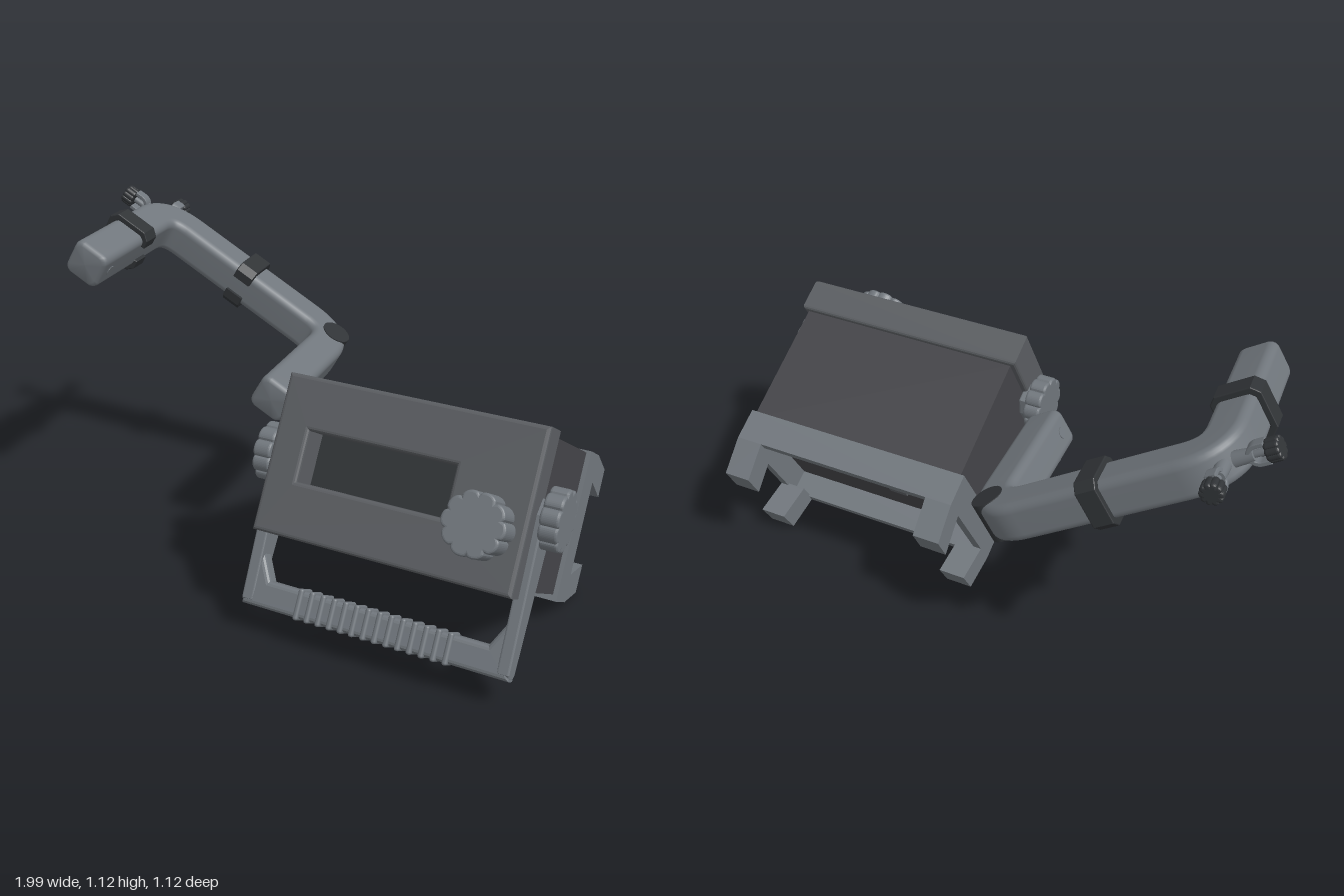
import * as THREE from 'three';
import { RoundedBoxGeometry } from 'three/addons/geometries/RoundedBoxGeometry.js';

const mat = (color) => new THREE.MeshStandardMaterial({ color });
const GREY = mat(0x70767c), CASE = mat(0x5a5d61), DARK = mat(0x444448), BLACK = mat(0x303336);
const V = (x, y, z) => new THREE.Vector3(x, y, z);

function add(parent, name, geometry, material, x = 0, y = 0, z = 0) {
  const mesh = new THREE.Mesh(geometry, material);
  mesh.name = name;
  mesh.position.set(x, y, z);
  parent.add(mesh);
  return mesh;
}

const poly = (pts) => new THREE.Shape(pts.map(([x, y]) => new THREE.Vector2(x, y)));
const rect = (x0, y0, x1, y1) => poly([[x0, y0], [x1, y0], [x1, y1], [x0, y1]]);

// Extrusion whose bevel stays inside the outline and depth
function extrude(shape, depth, bevel = 0) {
  const g = new THREE.ExtrudeGeometry(shape, {
    depth: depth - 2 * bevel, bevelEnabled: bevel > 0, bevelSize: bevel,
    bevelThickness: bevel, bevelOffset: -bevel, bevelSegments: 3, curveSegments: 12,
  });
  return g.translate(0, 0, bevel);
}

// Side profile given as [z, y], extruded along x
function sideExtrude(pts, x0, width, bevel = 0) {
  return extrude(poly(pts.map(([z, y]) => [-z, y])), width, bevel).rotateY(Math.PI / 2).translate(x0, 0, 0);
}

// Knob with scalloped rim, axis along z
function knobGeometry(radius, depth) {
  const pts = [];
  for (let i = 0; i < 120; i++) {
    const a = (i / 120) * Math.PI * 2;
    const r = radius * (0.87 + 0.13 * Math.sqrt(Math.abs(Math.cos(a * 5))));
    pts.push([Math.cos(a) * r, Math.sin(a) * r]);
  }
  return extrude(poly(pts), depth, 0.008).translate(0, 0, -depth / 2);
}

const X0 = 0.07, X1 = 0.92, XC = 0.495, YC = 0.318;

function createUnit() {
  const unit = new THREE.Group();
  unit.name = 'tiltedUnit';
  unit.rotation.x = -Math.PI / 6;

  // Case and front bezel with display window
  add(unit, 'case', new THREE.BoxGeometry(0.81, 0.467, 0.45), DARK, XC, 0.322, 0.265);
  const face = rect(X0, 0.07, X1, 0.573);
  face.holes.push(rect(0.18, 0.244, 0.67, 0.406));
  add(unit, 'frontBezel', extrude(face, 0.12, 0.012), CASE, 0, 0, 0.487);
  add(unit, 'display', new THREE.BoxGeometry(0.5, 0.17, 0.02), BLACK, 0.425, 0.325, 0.49);

  // Control knob
  const stem = new THREE.CylinderGeometry(0.03, 0.03, 0.06, 24).rotateX(Math.PI / 2);
  add(unit, 'knobStem', stem, GREY, 0.8, 0.25, 0.62);
  add(unit, 'controlKnob', knobGeometry(0.098, 0.105), GREY, 0.8, 0.25, 0.682);

  // Rear frame with four hooked feet
  const ring = rect(0.075, 0.068, 0.915, 0.563);
  ring.holes.push(rect(0.105, 0.1, 0.885, 0.531));
  add(unit, 'rearFrame', extrude(ring, 0.11), GREY, 0, 0, -0.047);
  const foot = [[-0.04, 0.563], [-0.047, 0.563], [-0.174, 0.528], [-0.176, 0.432], [-0.046, 0.471], [-0.04, 0.471]];
  const lower = foot.map(([z, y]) => [z, 2 * YC - 0.005 - y]).reverse();
  for (const x of [0.075, 0.82]) {
    add(unit, 'upperFoot', sideExtrude(foot, x, 0.095), GREY);
    add(unit, 'lowerFoot', sideExtrude(lower, x, 0.095), GREY);
  }

  // Rear sockets
  for (const [x, r] of [[0.77, 0.042], [0.59, 0.042], [0.23, 0.026]]) {
    add(unit, 'rearSocket', new THREE.CylinderGeometry(r, r, 0.01, 32).rotateX(Math.PI / 2), CASE, x, YC, 0.038);
  }
  add(unit, 'rearSwitch', new THREE.BoxGeometry(0.07, 0.13, 0.02), CASE, 0.41, YC, 0.037);

  // Carrying handle: tapered arms, chamfered cross bar, ribs and pivot knobs
  const arm = [[0.455, -0.15], [0.47, -0.165], [0.503, -0.165], [0.518, -0.15], [0.545, 0.32], [0.52, 0.37], [0.45, 0.37], [0.425, 0.32]];
  for (const s of [-1, 1]) {
    const x = XC + s * 0.4275;
    add(unit, 'handleArm', sideExtrude(arm, x - 0.02, 0.04, 0.006), GREY);
    const knob = add(unit, 'pivotKnob', knobGeometry(0.097, 0.06), GREY, XC + s * 0.472, 0.32, 0.485);
    knob.rotation.y = s * Math.PI / 2;
  }
  const bar = poly([[-0.447, -0.168], [0.447, -0.168], [0.447, 0.0], [0.408, 0.0], [0.365, -0.08],
    [-0.365, -0.08], [-0.408, 0.0], [-0.447, 0.0]]);
  add(unit, 'handleBar', extrude(bar, 0.062, 0.015), GREY, XC, 0, 0.455);
  for (let i = 0; i < 14; i++) {
    add(unit, 'gripRib', new RoundedBoxGeometry(0.018, 0.1, 0.076, 2, 0.008), GREY, 0.245 + i * 0.0385, -0.124, 0.486);
  }
  return unit;
}

// Corner points of the bent tube, all close to one sloping plane
const P = [V(-0.776, 0.992, 0.135), V(-0.83, 1.005, -0.395), V(-0.16, 0.607, -0.475), V(-0.112, 0.592, 0.035)];
const toward = (a, b) => b.clone().sub(a).normalize();
const N = toward(P[1], P[0]).cross(toward(P[1], P[2])).normalize();

// Rounded square section swept along the path, with rounded ends
function tubeGeometry(half, corner, bend) {
  const path = new THREE.CurvePath();
  let from = P[0];
  for (const i of [1, 2]) {
    const a = P[i].clone().addScaledVector(toward(P[i], P[i - 1]), bend);
    const b = P[i].clone().addScaledVector(toward(P[i], P[i + 1]), bend);
    path.add(new THREE.LineCurve3(from, a));
    path.add(new THREE.QuadraticBezierCurve3(a, P[i], b));
    from = b;
  }
  path.add(new THREE.LineCurve3(from, P[3]));

  const rings = [];
  path.curves.forEach((c, k) => {
    const n = k % 2 ? 12 : 4;
    for (let i = k ? 1 : 0; i <= n; i++) rings.push({ p: c.getPoint(i / n), t: c.getTangent(i / n), s: 1 });
  });
  const first = rings[0], last = rings[rings.length - 1];
  for (const [d, s] of [[0.011, 0.95], [0.02, 0.8], [0.022, 0]]) {
    rings.unshift({ p: first.p.clone().addScaledVector(first.t, -d), t: first.t, s });
    rings.push({ p: last.p.clone().addScaledVector(last.t, d), t: last.t, s });
  }

  const M = 24, pos = [], index = [];
  for (const { p, t, s } of rings) {
    const side = new THREE.Vector3().crossVectors(N, t).normalize();
    const up = new THREE.Vector3().crossVectors(t, side);
    for (let j = 0; j < M; j++) {
      const q = Math.floor(j / 6), a = (q + (j % 6) / 5) * Math.PI / 2, c = half - corner;
      const u = (q === 0 || q === 3 ? c : -c) + corner * Math.cos(a);
      const v = (q < 2 ? c : -c) + corner * Math.sin(a);
      const w = p.clone().addScaledVector(side, u * s).addScaledVector(up, v * s);
      pos.push(w.x, w.y, w.z);
    }
  }
  for (let i = 0; i < rings.length - 1; i++) {
    for (let j = 0; j < M; j++) {
      const a = i * M + j, b = i * M + (j + 1) % M;
      index.push(a, b, b + M, a, b + M, a + M);
    }
  }
  const g = new THREE.BufferGeometry();
  g.setAttribute('position', new THREE.Float32BufferAttribute(pos, 3));
  g.setIndex(index);
  g.computeVertexNormals();
  return g;
}

// Group at p whose y axis is `up` and x axis is close to `out`
function frame(parent, name, p, up, out) {
  const g = new THREE.Group();
  const z = out.clone().cross(up).normalize(), x = up.clone().cross(z);
  g.name = name;
  g.position.copy(p);
  g.quaternion.setFromRotationMatrix(new THREE.Matrix4().makeBasis(x, up, z));
  parent.add(g);
  return g;
}

function createArm() {
  const arm = new THREE.Group();
  arm.name = 'bentArm';
  const d1 = toward(P[1], P[0]), d2 = toward(P[1], P[2]), d3 = toward(P[2], P[3]);
  add(arm, 'armTube', tubeGeometry(0.066, 0.028, 0.12), GREY);

  // Spring clips, open toward the inside of the bend
  const clip = poly([[-0.078, 0.03], [-0.078, 0.062], [-0.055, 0.085], [0.06, 0.085], [0.085, 0.06], [0.085, -0.06],
    [0.06, -0.085], [-0.055, -0.085], [-0.078, -0.062], [-0.078, -0.03], [-0.06, -0.03], [-0.06, -0.05], [-0.045, -0.064],
    [0.05, -0.064], [0.064, -0.05], [0.064, 0.05], [0.05, 0.064], [-0.045, 0.064], [-0.06, 0.05], [-0.06, 0.03]]);
  for (const [p, out] of [
    [P[1].clone().addScaledVector(d1, 0.262), d2.clone().negate()],
    [P[1].clone().lerp(P[2], 0.5), d1.clone().negate()],
  ]) {
    const along = p.clone().sub(P[1]).normalize();
    const outward = out.addScaledVector(along, -out.dot(along)).normalize();
    add(frame(arm, 'clipMount', p, N, outward), 'springClip', extrude(clip, 0.07, 0.004), BLACK, 0, 0, -0.035);
  }

  // Round cap at the lower elbow, visible on both faces
  const elbow = frame(arm, 'elbow', P[2].clone().addScaledVector(d3, 0.03), N, d2);
  add(elbow, 'elbowCap', new THREE.CylinderGeometry(0.052, 0.052, 0.138, 32), BLACK);

  // Small pins near the tube ends, on the inner faces
  for (const [end, dir, s] of [[P[0], d1, 1], [P[3], d3, -1]]) {
    const side = new THREE.Vector3().crossVectors(dir, N).normalize();
    if (side.dot(d2) * s < 0) side.negate();
    const p = end.clone().addScaledVector(dir, -0.045).addScaledVector(side, 0.06);
    add(frame(arm, 'endPin', p, side, N), 'pin', new THREE.CylinderGeometry(0.019, 0.019, 0.016, 20), GREY);
  }

  // Clevis and thumb screw continuing each leg past the upper elbow
  for (const [dir, reach] of [[d1, 0.14], [d2, 0.15]]) {
    const g = frame(arm, 'screwMount', P[1], dir.clone().negate(), N);
    add(g, 'clevisStem', new THREE.CylinderGeometry(0.02, 0.024, 0.06, 20), GREY, 0, reach - 0.09, 0);
    const u = new THREE.Shape();
    u.absarc(0, 0, 0.036, Math.PI, 2 * Math.PI);
    u.lineTo(0.036, 0.026).lineTo(0.022, 0.026).lineTo(0.022, 0);
    u.absarc(0, 0, 0.022, 2 * Math.PI, Math.PI, true);
    u.lineTo(-0.022, 0.026).lineTo(-0.036, 0.026);
    add(g, 'clevis', extrude(u, 0.034, 0.003), GREY, 0, reach - 0.046, -0.017);
    add(g, 'screwShaft', new THREE.CylinderGeometry(0.011, 0.011, 0.07, 16), GREY, 0, reach - 0.045, 0);
    const head = knobGeometry(0.036, 0.045).rotateX(Math.PI / 2);
    add(g, 'thumbScrew', head, BLACK, 0, reach, 0);
  }
  return arm;
}

export function createModel() {
  const model = new THREE.Group();
  model.name = 'instrumentWithArm';
  model.add(createUnit(), createArm());
  return model;
}
